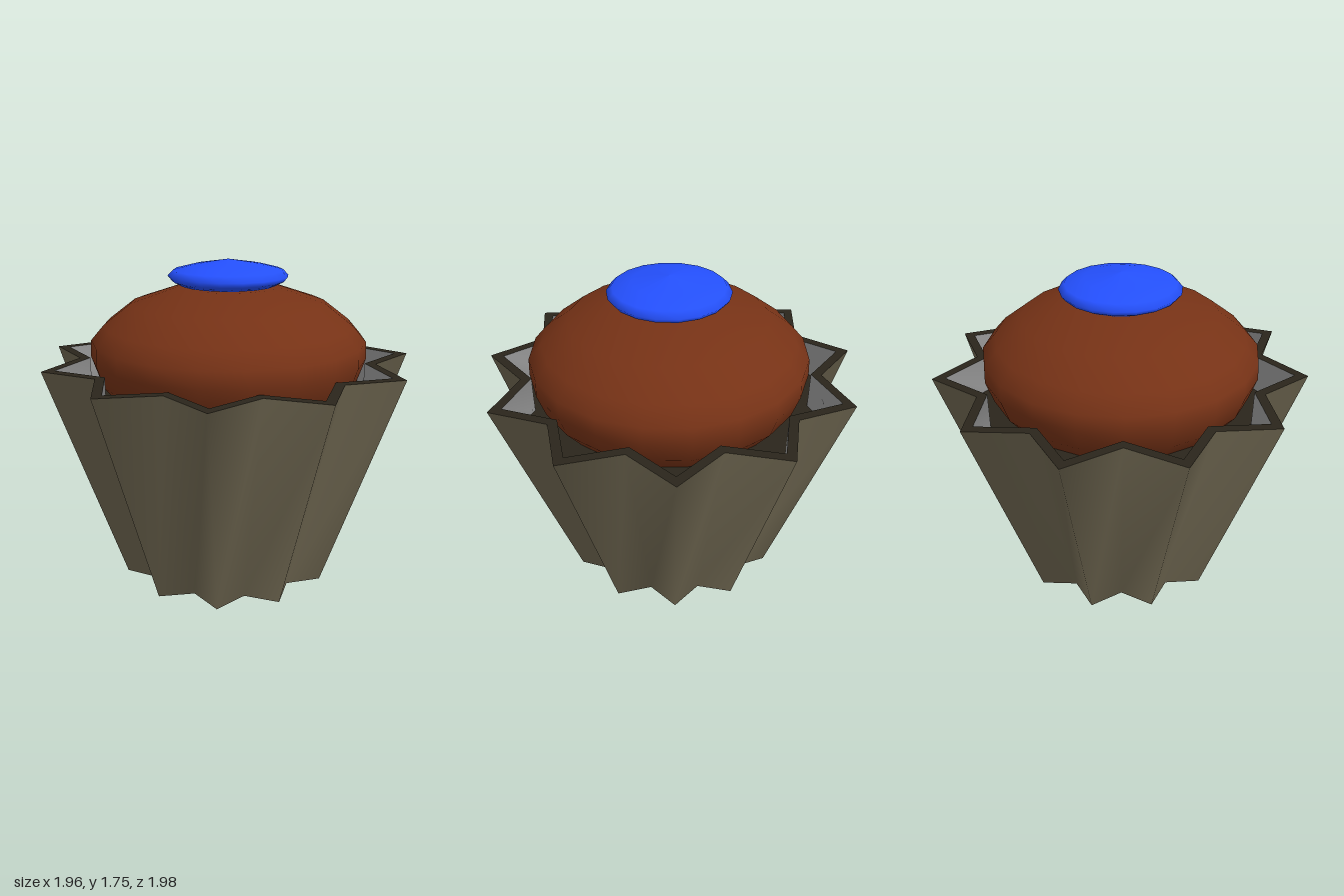
import * as THREE from 'three';

const POINTS = 11, HEIGHT = 1.22, RECESS = 1.02;

// Corners of the star outline (counter-clockwise in shape space, y = -z)
function starCorners(scale) {
  const corners = [];
  for (let i = 0; i < POINTS * 2; i++) {
    const a = Math.PI + 0.018 + (i * Math.PI) / POINTS;
    const r = (i % 2 ? 0.80 : 1.0) * scale;
    corners.push(new THREE.Vector2(0.012 * scale + r * Math.cos(a), r * Math.sin(a)));
  }
  return corners;
}

// Smooth-shaded wall joining two star outlines; inward flips it
function starWall(scaleLow, yLow, scaleHigh, yHigh, inward) {
  const pos = [], index = [], n = POINTS * 2;
  const low = starCorners(scaleLow), high = starCorners(scaleHigh);
  for (let i = 0; i < n; i++) {
    pos.push(low[i].x, yLow, -low[i].y, high[i].x, yHigh, -high[i].y);
    const a = 2 * i, b = 2 * ((i + 1) % n);
    if (inward) index.push(a, b + 1, b, a, a + 1, b + 1);
    else index.push(a, b, b + 1, a, b + 1, a + 1);
  }
  const g = new THREE.BufferGeometry();
  g.setAttribute('position', new THREE.Float32BufferAttribute(pos, 3));
  g.setIndex(index);
  g.computeVertexNormals();
  return g;
}

// Flat star plate at height y, with an optional star hole
function starPlate(scale, y, holeScale, down) {
  const shape = new THREE.Shape(starCorners(scale));
  if (holeScale) shape.holes.push(new THREE.Path(starCorners(holeScale)));
  const g = new THREE.ShapeGeometry(shape);
  if (down) g.scale(1, -1, 1).rotateX(Math.PI / 2);
  else g.rotateX(-Math.PI / 2);
  return g.translate(0, y, 0);
}

function lathe(points, segments) {
  return new THREE.LatheGeometry(points.map(([r, y]) => new THREE.Vector2(r, y)), segments);
}

export function createModel() {
  const model = new THREE.Group();
  const material = (color) => new THREE.MeshStandardMaterial({ color, side: THREE.DoubleSide });
  const paper = material(0x6e6650), dark = material(0x2a251b), lining = material(0x999999);
  const cake = material(0x763216), blue = material(0x2450ff);

  const add = (name, geometry, mat, x = 0) => {
    const mesh = new THREE.Mesh(geometry, mat);
    mesh.name = name;
    mesh.position.x = x;
    model.add(mesh);
  };

  // Pleated cup with a shallow recess
  add('cupWall', starWall(0.6, 0, 1, HEIGHT, false), paper);
  add('cupRim', starPlate(1, HEIGHT, 0.93), dark);
  add('cupLining', starWall(0.93, RECESS, 0.93, HEIGHT, true), lining);
  add('cupRecessFloor', starPlate(0.93, RECESS), dark);
  add('cupBase', starPlate(0.6, 0, 0, true), dark);

  // Cake dome sitting in the recess
  add('cakeDome', lathe([
    [0.62, RECESS], [0.70, 1.12], [0.74, 1.24], [0.735, 1.33],
    [0.665, 1.41], [0.52, 1.52], [0.265, 1.605], [0, 1.615],
  ], 20), cake, 0.022);

  // Flattened button on top
  add('topButton', lathe([
    [0, 1.605], [0.25, 1.61], [0.30, 1.635], [0.32, 1.66],
    [0.29, 1.69], [0.19, 1.715], [0, 1.745],
  ], 18), blue, 0.02);

  return model;
}
